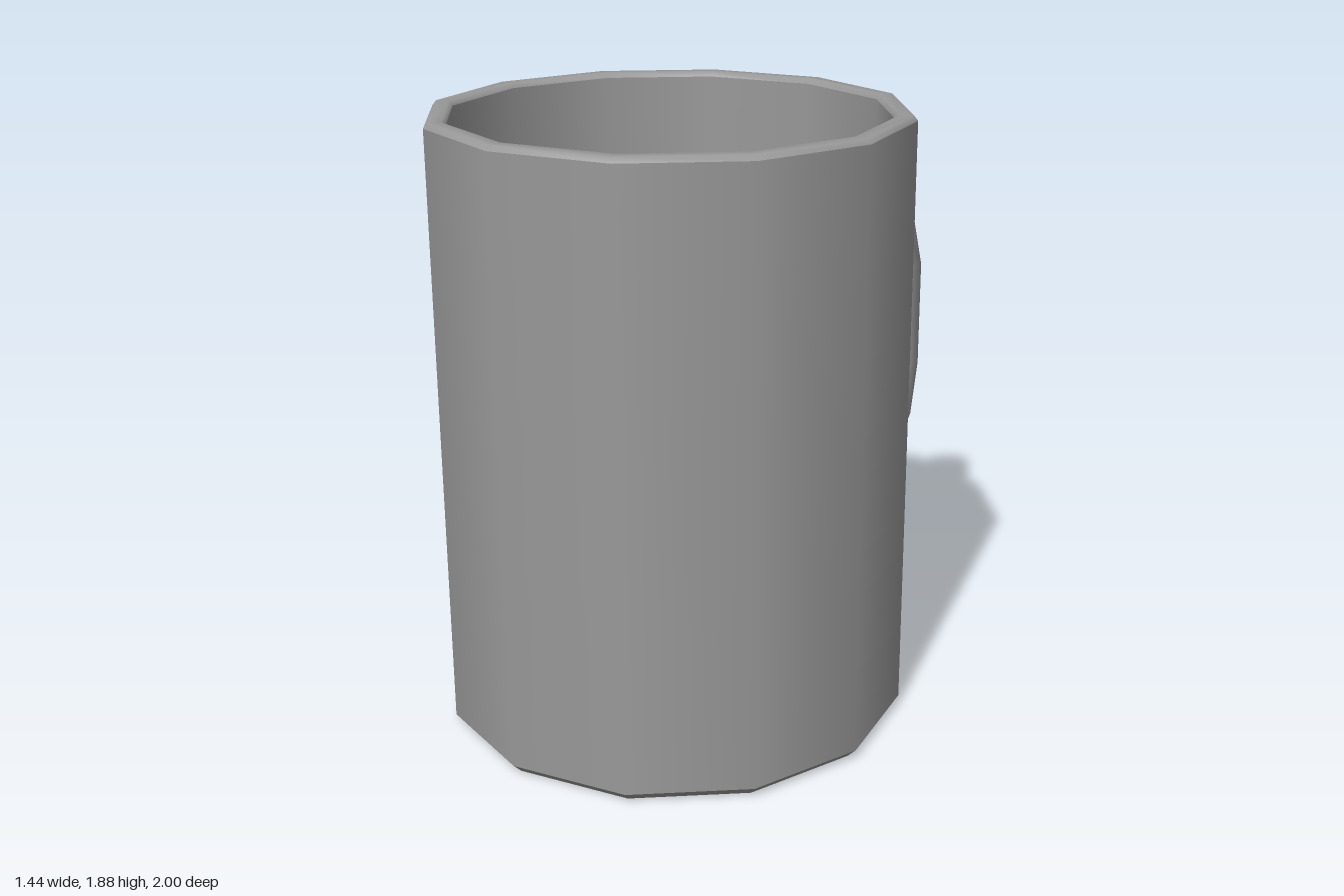
import * as THREE from 'three';

const SIDES = 12, CENTER_Z = 0.28, RADIUS = 0.72;

export function createModel() {
  const group = new THREE.Group();
  const grey = new THREE.MeshStandardMaterial({ color: 0x999999, side: THREE.DoubleSide });
  grey.name = 'grey ceramic';

  // Twelve-sided ring or disc turned from a [radius, height] profile
  const turned = (name, profile) => {
    const points = profile.map(([r, y]) => new THREE.Vector2(r, y));
    const mesh = new THREE.Mesh(new THREE.LatheGeometry(points, SIDES), grey);
    mesh.name = name;
    mesh.position.z = CENTER_Z;
    group.add(mesh);
  };
  turned('base', [[0, 0], [0.69, 0]]);
  turned('baseBevel', [[0.69, 0], [RADIUS, 0.03]]);
  turned('outerWall', [[RADIUS, 0.03], [RADIUS, 1.865]]);
  turned('rim', [[RADIUS, 1.865], [0.708, 1.88], [0.668, 1.88], [0.658, 1.865]]);
  turned('innerLip', [[0.658, 1.865], [0.655, 1.52]]);

  // Handle cross-sections: outer z, y, inner z, y, half width
  const sections = [
    [-0.44, 1.53, -0.44, 1.28, 0.1],
    [-0.51, 1.55, -0.51, 1.4, 0.07],
    [-0.65, 1.56, -0.65, 1.415, 0.065],
    [-0.81, 1.51, -0.75, 1.39, 0.065],
    [-0.935, 1.38, -0.815, 1.29, 0.065],
    [-1, 1.17, -0.855, 1.16, 0.065],
    [-1, 0.8, -0.855, 0.81, 0.065],
    [-0.96, 0.6, -0.83, 0.66, 0.065],
    [-0.83, 0.44, -0.76, 0.55, 0.065],
    [-0.67, 0.36, -0.67, 0.51, 0.065],
    [-0.51, 0.355, -0.51, 0.515, 0.07],
    [-0.44, 0.33, -0.44, 0.67, 0.1],
  ];
  const N = 8, grow = 1 / Math.cos(Math.PI / N);
  const positions = [], index = [];
  sections.forEach(([oz, oy, iz, iy, w], s) => {
    const atWall = s === 0 || s === sections.length - 1;
    for (let k = 0; k < N; k++) {
      const a = ((k + 0.5) / N) * Math.PI * 2;
      const t = (Math.cos(a) * grow) / 2;
      const x = Math.sin(a) * grow * w;
      const y = (oy + iy) / 2 + (oy - iy) * t;
      // The end rings follow the two wall faces that meet at the back corner
      const z = atWall
        ? CENTER_Z - RADIUS + Math.abs(x) * Math.tan(Math.PI / SIDES)
        : (oz + iz) / 2 + (oz - iz) * t;
      positions.push(x, y, z);
      if (s < sections.length - 1) {
        const p = s * N + k, q = s * N + ((k + 1) % N);
        index.push(p, p + N, q, q, p + N, q + N);
      }
    }
  });
  const handleGeometry = new THREE.BufferGeometry();
  handleGeometry.setAttribute('position', new THREE.Float32BufferAttribute(positions, 3));
  handleGeometry.setIndex(index);
  handleGeometry.computeVertexNormals();
  const handle = new THREE.Mesh(handleGeometry, grey);
  handle.name = 'handle';
  group.add(handle);

  return group;
}
